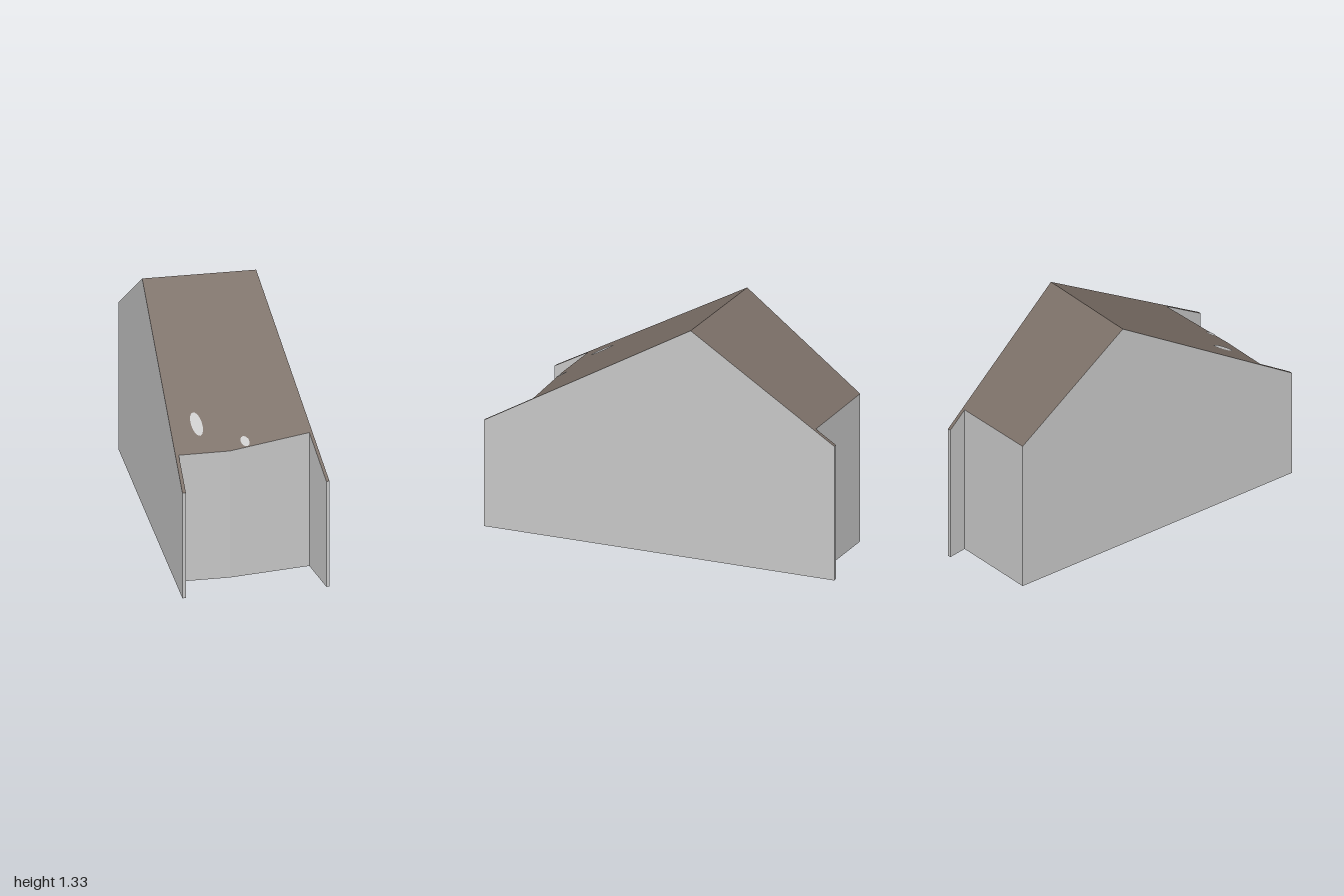
import * as THREE from 'three';

// Ridge ends in plan [x, z]
const RIDGE_R = [-0.145, -0.385];
const RIDGE_L = [0.405, -0.115];
const RIDGE_Y = 1.332;

// Height of the pitched roof above any plan point
function roofY(x, z) {
  const dx = RIDGE_L[0] - RIDGE_R[0], dz = RIDGE_L[1] - RIDGE_R[1];
  const d = ((z - RIDGE_R[1]) * dx - (x - RIDGE_R[0]) * dz) / Math.hypot(dx, dz);
  return RIDGE_Y - (d > 0 ? 0.619 * d : -0.684 * d);
}

// Flat plan polygon lifted onto the roof slope
function slopeGeometry(plan, lift = 0) {
  const shape = new THREE.Shape(plan.map(([x, z]) => new THREE.Vector2(x, -z)));
  const geo = new THREE.ShapeGeometry(shape).rotateX(-Math.PI / 2);
  const p = geo.attributes.position;
  for (let i = 0; i < p.count; i++) p.setY(i, roofY(p.getX(i), p.getZ(i)) + lift);
  geo.computeVertexNormals();
  return geo;
}

// Vertical walls along a plan path, rising from the ground to the roof
function wallGeometry(path) {
  const v = [];
  for (let i = 0; i + 1 < path.length; i++) {
    const [ax, az] = path[i], [bx, bz] = path[i + 1];
    const a = [ax, 0, az], b = [bx, 0, bz];
    const c = [bx, roofY(bx, bz), bz], d = [ax, roofY(ax, az), az];
    v.push(...a, ...b, ...c, ...a, ...c, ...d);
  }
  const geo = new THREE.BufferGeometry();
  geo.setAttribute('position', new THREE.Float32BufferAttribute(v, 3));
  geo.computeVertexNormals();
  return geo;
}

// Ellipse in plan, tilted by an angle
function ellipse(cx, cz, rx, rz, tilt, n) {
  return Array.from({ length: n }, (_, i) => {
    const t = (i / n) * Math.PI * 2, u = rx * Math.cos(t), w = rz * Math.sin(t);
    return [cx + u * Math.cos(tilt) - w * Math.sin(tilt), cz + u * Math.sin(tilt) + w * Math.cos(tilt)];
  });
}

export function createModel() {
  const group = new THREE.Group();
  const wall = new THREE.MeshStandardMaterial({ color: 0xc8c8c8 });
  wall.name = 'wall grey';
  const roof = new THREE.MeshStandardMaterial({ color: 0x7a6e66 });
  roof.name = 'roof brown';

  const add = (name, geo, mat) => {
    const mesh = new THREE.Mesh(geo, mat);
    mesh.name = name;
    group.add(mesh);
  };

  // Plan outline, counter-clockwise from above; thin side walls run past the house
  const rightFront = [[-0.642, 0.655], [-0.625, 0.663], [-0.538, 0.48]];
  const bend = [-0.29, 0.6];
  const leftFront = [[0.132, 0.735], [0.055, 0.993], [0.07, 1.0]];
  const leftBack = [[0.64, -0.89], [0.622, -0.897], [0.59, -0.79]];
  const rightBack = [0.15, -1.0];
  const front = [RIDGE_R, ...rightFront, bend, ...leftFront, RIDGE_L];
  const back = [RIDGE_L, ...leftBack, rightBack, RIDGE_R];

  // Walls
  add('rightSideWall', wallGeometry([rightBack, RIDGE_R, ...rightFront]), wall);
  add('frontWall', wallGeometry([rightFront[2], bend, leftFront[0]]), wall);
  add('leftSideWall', wallGeometry([...leftFront, RIDGE_L, ...leftBack]), wall);
  add('backWall', wallGeometry([leftBack[2], rightBack]), wall);

  // Roof slopes, also capping the side walls
  add('frontRoof', slopeGeometry(front), roof);
  add('backRoof', slopeGeometry(back), roof);

  // Underside
  const plan = [...front, ...back.slice(1, -1)].map(([x, z]) => new THREE.Vector2(x, z));
  add('floor', new THREE.ShapeGeometry(new THREE.Shape(plan)).rotateX(Math.PI / 2), wall);

  // Pale patches on the front slope
  add('largeRoofPatch', slopeGeometry(ellipse(-0.36, 0.396, 0.03, 0.064, 0.32, 16), 0.004), wall);
  add('smallRoofPatch', slopeGeometry(ellipse(-0.192, 0.601, 0.023, 0.029, 0, 10), 0.004), wall);

  return group;
}
